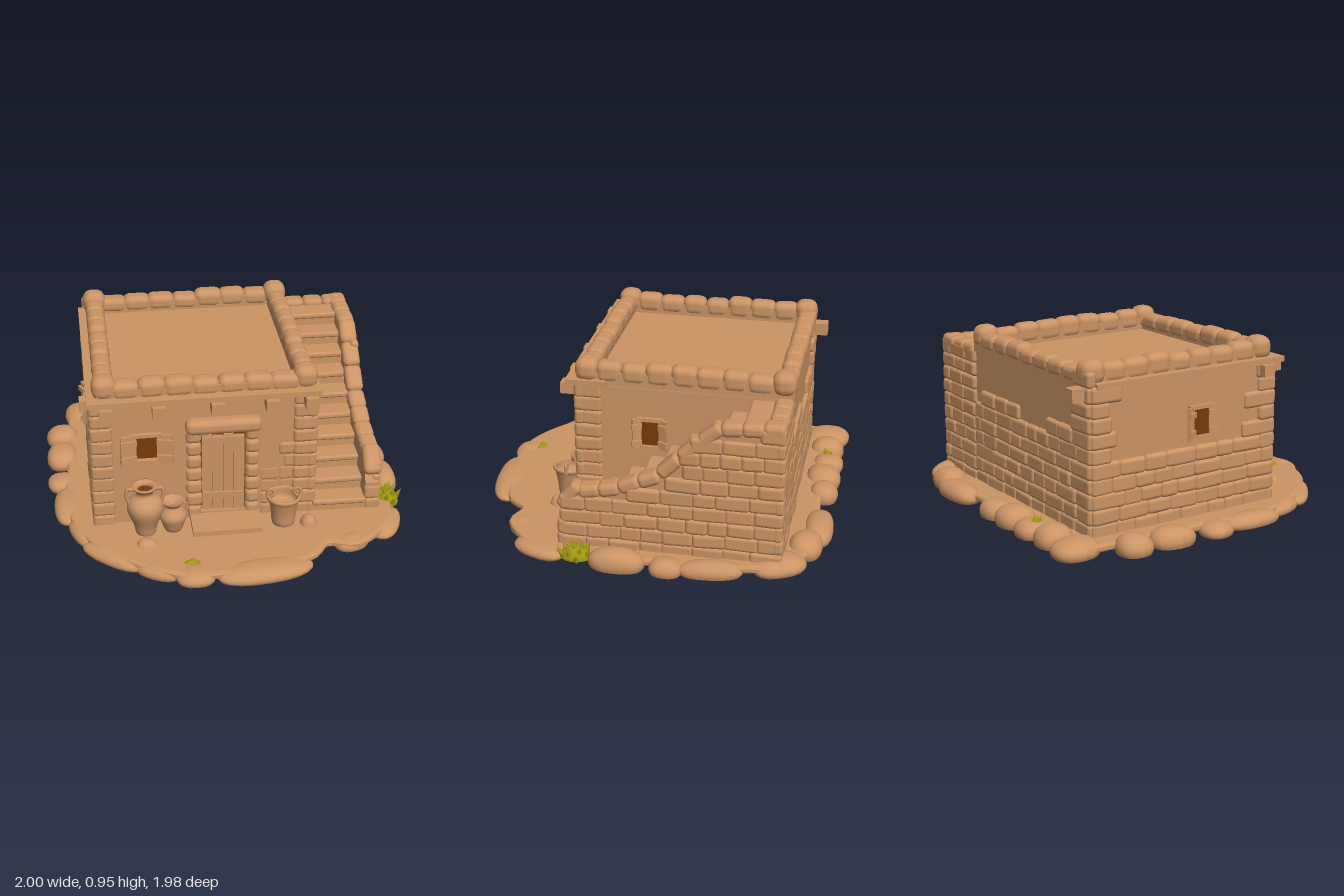
import * as THREE from 'three';
import { RoundedBoxGeometry } from 'three/addons/geometries/RoundedBoxGeometry.js';

const mat = (name, color) => {
  const m = new THREE.MeshStandardMaterial({ color, side: THREE.DoubleSide });
  m.name = name;
  return m;
};
const points = list => list.map(p => new THREE.Vector2(...p));

export function createModel() {
  const root = new THREE.Group();
  root.name = 'stoneHouse';
  const clay = mat('clay', 0xcb9465), dark = mat('darkInterior', 0x763a08), olive = mat('grass', 0xa09612);
  let seed = 7;
  const rnd = (a = 0, b = 1) => {
    seed = (seed * 16807) % 2147483647;
    return a + (b - a) * seed / 2147483647;
  };
  const add = (name, geo, m = clay, parent = root) => {
    const mesh = new THREE.Mesh(geo, m);
    mesh.name = name;
    parent.add(mesh);
    return mesh;
  };
  const group = (name, x = 0, y = 0, z = 0) => {
    const g = new THREE.Group();
    g.name = name;
    g.position.set(x, y, z);
    root.add(g);
    return g;
  };
  // Box given by its limits on each axis
  const box = (name, x0, x1, y0, y1, z0, z1, m = clay, parent = root) => {
    const b = add(name, new THREE.BoxGeometry(x1 - x0, y1 - y0, z1 - z0), m, parent);
    b.position.set((x0 + x1) / 2, (y0 + y1) / 2, (z0 + z1) / 2);
    return b;
  };
  const stone = (parent, w, h, d, x, y, z, tilt = 0.03) => {
    const s = add('stone', new RoundedBoxGeometry(w, h, d, 2, Math.min(w, h, d) * 0.4), clay, parent);
    s.position.set(x, y, z);
    s.rotation.set(rnd(-tilt, tilt), rnd(-tilt, tilt), rnd(-tilt, tilt));
    return s;
  };
  // Courses of stones on a wall plane at x = at or z = at
  const masonry = (name, axis, at, u0, u1, y0, top, wMin = 0.1, wMax = 0.19) => {
    const g = group(name), h = 0.078;
    for (let y = y0; y < 0.84; y += h) {
      let u = u0;
      while (u < u1 - 0.01) {
        let w = rnd(wMin, wMax);
        if (u1 - u - w < 0.06) w = u1 - u;
        const c = u + w / 2, hh = h + rnd(0.004, 0.014), t = rnd(0.045, 0.06);
        if (y + h < top(c) + 0.02) {
          if (axis === 'x') stone(g, t, hh, w + 0.008, at, y + h / 2, c);
          else stone(g, w + 0.008, hh, t, c, y + h / 2, at);
        }
        u += w;
      }
    }
  };

  // Ground slab with irregular outline, open below the stairs
  const outline = points([[-0.84, -0.84], [-0.7, -0.9], [0, -0.87], [0.5, -0.9], [0.75, -0.82], [0.87, -0.62], [0.9, 0],
    [0.88, 0.4], [0.82, 0.58], [0.64, 0.73], [0.48, 0.7], [0.36, 0.82], [0, 0.9], [-0.3, 0.9], [-0.56, 0.76],
    [-0.78, 0.52], [-0.88, 0.2], [-0.86, -0.3]]);
  const slab = new THREE.Shape(new THREE.SplineCurve([...outline, outline[0]]).getPoints(70));
  slab.holes.push(new THREE.Path(points([[0.44, -0.68], [0.44, 0.1], [0.77, 0.1], [0.77, -0.68]])));
  const ground = add('ground', new THREE.ExtrudeGeometry(slab,
    { depth: 0.018, bevelThickness: 0.012, bevelSize: 0.02, bevelSegments: 2 }).rotateX(Math.PI / 2));
  ground.position.y = 0.048;

  // Boulders round the edge: x, z, half width, half depth, height, turn
  const boulders = group('boulders');
  [[-0.905, -0.6, 0.095, 0.095, 0.1], [-0.91, -0.37, 0.09, 0.125, 0.1], [-0.92, -0.1, 0.08, 0.09, 0.07],
    [-0.89, 0.15, 0.08, 0.18, 0.07], [-0.77, -0.86, 0.11, 0.13, 0.09], [-0.58, -0.87, 0.1, 0.1, 0.11],
    [-0.4, -0.89, 0.1, 0.09, 0.09], [-0.21, -0.88, 0.11, 0.1, 0.11], [-0.03, -0.9, 0.09, 0.08, 0.1],
    [0.37, -0.91, 0.18, 0.08, 0.09], [0.58, -0.86, 0.11, 0.09, 0.11], [0.78, -0.74, 0.1, 0.15, 0.08, 0.5],
    [0.9, -0.4, 0.065, 0.17, 0.08, 0.1], [0.92, -0.17, 0.075, 0.09, 0.08], [0.92, 0.09, 0.075, 0.15, 0.11],
    [0.84, 0.52, 0.085, 0.155, 0.06, -0.35], [0.12, 0.885, 0.26, 0.095, 0.07, 0.14], [-0.25, 0.88, 0.11, 0.09, 0.065],
    [-0.66, 0.65, 0.2, 0.08, 0.06, -0.7], [-0.82, 0.42, 0.06, 0.13, 0.06, 0.35], [-0.44, 0.82, 0.12, 0.06, 0.06, -0.5],
    [0.62, 0.68, 0.1, 0.07, 0.065, 0.3], [-0.48, 0.62, 0.065, 0.05, 0.09],
    [0.41, 0.53, 0.05, 0.05, 0.11]].forEach(([x, z, a, b, h, turn = 0], k) => {
    const geo = new THREE.SphereGeometry(1, 20, 12, 0, Math.PI * 2, 0, 2.01), p = geo.attributes.position;
    const blocky = v => Math.sign(v) * Math.abs(v) ** 0.85;
    for (let i = 0; i < p.count; i++) {
      const X = p.getX(i), Y = p.getY(i), Z = p.getZ(i);
      const f = 1 + 0.03 * Math.sin(3 * X + k) * Math.cos(2 * Z + 2 * k);
      p.setXYZ(i, blocky(X) * f * a, Math.max(0, (Y * 0.7 + 0.3) * f * h), blocky(Z) * f * b);
    }
    geo.computeVertexNormals();
    const m = add('boulder', geo, clay, boulders);
    m.position.set(x, 0, z);
    m.rotation.y = turn;
  });

  // House body and front wall with window and door openings
  box('houseBody', -0.74, 0.45, 0, 0.81, -0.74, 0.34);
  const wall = new THREE.Shape(points([[-0.74, 0], [0.45, 0], [0.45, 0.84], [-0.74, 0.84]]));
  const hole = (x0, x1, y0, y1) => wall.holes.push(new THREE.Path(points([[x0, y0], [x0, y1], [x1, y1], [x1, y0]])));
  hole(-0.515, -0.4, 0.46, 0.605);
  hole(-0.17, 0.08, 0.06, 0.61);
  add('frontWall', new THREE.ExtrudeGeometry(wall, { depth: 0.06, bevelEnabled: false })).position.z = 0.34;
  box('windowDark', -0.515, -0.4, 0.46, 0.605, 0.388, 0.396, dark);
  box('doorDark', -0.18, 0.09, 0.05, 0.62, 0.338, 0.345, dark);

  // Door of planks, lintel, jambs and doorstep
  const door = group('door', -0.158, 0, 0.375);
  for (let i = 0; i < 4; i++) {
    box('plank', i * 0.058, i * 0.058 + 0.056, 0.1, 0.575 - 0.012 * (i % 2), -0.01, 0.012, clay, door);
  }
  [0.18, 0.53].forEach(y => box('doorBrace', 0, 0.225, y, y + 0.035, 0.01, 0.024, clay, door));
  door.rotation.y = -0.05;
  const doorway = group('doorway');
  stone(doorway, 0.41, 0.085, 0.1, -0.045, 0.65, 0.41, 0.01);
  box('doorstep', -0.23, 0.15, 0.03, 0.09, 0.4, 0.59);
  box('threshold', -0.17, 0.08, 0.05, 0.1, 0.34, 0.41);
  [-0.205, 0.115].forEach(x => {
    for (let i = 0; i < 7; i++) stone(doorway, rnd(0.07, 0.1), 0.086, 0.07, x, 0.1 + i * 0.08, 0.385);
  });

  // Shuttered windows, built facing +z and turned to each wall
  const windowSet = (name, x, y, z, turn, half, open, wide) => {
    const g = group(name, x, y, z);
    g.rotation.y = turn;
    [-0.08, 0.08].forEach(v => box('windowBar', -half - 0.02, half + 0.02, v - 0.01, v + 0.01, 0, 0.022, clay, g));
    [-1, 1].forEach(s => {
      const sh = new THREE.Group();
      sh.name = 'shutter';
      sh.position.x = s * half;
      sh.rotation.y = -s * open;
      g.add(sh);
      const xs = (a, b) => s > 0 ? [a, b] : [-b, -a];
      box('shutterPanel', ...xs(0, wide), -0.088, 0.085, 0.005, 0.02, clay, sh);
      [-0.05, 0.045].forEach(v => box('shutterBrace', ...xs(0, wide + 0.005), v - 0.015, v + 0.015, 0.02, 0.032, clay, sh));
    });
    return g;
  };
  windowSet('frontWindow', -0.457, 0.53, 0.4, 0, 0.06, 0.25, 0.085);
  [['rightWindow', 0.451, 0, Math.PI / 2], ['leftWindow', -0.742, -0.08, -Math.PI / 2]].forEach(([n, x, z, turn]) => {
    const g = windowSet(n, x, 0.56, z, turn, 0.055, 0.45, 0.05);
    box('windowDark', -0.055, 0.055, -0.07, 0.07, 0, 0.008, dark, g);
  });

  // Stone courses: back, left side, corners and bare patch in the plaster
  masonry('backStones', 'z', -0.735, -0.74, 0.45, 0.04, u => u < -0.6 ? 0.9 : 0.58 + 0.03 * Math.sin(u * 9));
  masonry('leftStones', 'x', -0.735, -0.74, 0.4, 0.04, u => u < -0.6 || u > 0.29 ? 0.82 : 0.42);
  masonry('frontLeftCorner', 'z', 0.39, -0.755, -0.64, 0.04, () => 0.8, 0.08, 0.13);
  masonry('frontRightCorner', 'z', 0.39, 0.34, 0.465, 0.04, () => 0.8, 0.08, 0.13);
  masonry('rightCorner', 'x', 0.44, 0.27, 0.415, 0.04, () => 0.8, 0.1, 0.15);
  masonry('barePatch', 'z', 0.38, 0.16, 0.35, 0.04, u => 0.36 + (u - 0.18) * 1.1, 0.08, 0.13);

  // Roof, eaves and projecting beam ends
  box('roof', -0.73, 0.44, 0.79, 0.82, -0.73, 0.39);
  box('frontEave', -0.765, 0.475, 0.812, 0.842, 0.32, 0.46);
  box('rightEave', 0.36, 0.475, 0.812, 0.842, 0.24, 0.33);
  box('leftEave', -0.765, -0.67, 0.812, 0.842, -0.72, 0.4);
  [-0.67, -0.39, -0.08, 0.21, 0.42].forEach(x => box('beamEnd', x - 0.035, x + 0.035, 0.75, 0.812, 0.35, 0.49));
  box('backBeamEnd', -0.71, -0.64, 0.75, 0.82, -0.83, -0.7);
  box('leftBeamEnd', -0.8, -0.7, 0.75, 0.812, 0.3, 0.37);

  // Parapet stones on all four sides, on a low kerb
  const parapet = group('parapet');
  [-0.71, 0.36].forEach(z => box('kerb', -0.71, 0.44, 0.8, 0.885, z - 0.045, z + 0.045, clay, parapet));
  [-0.67, 0.4].forEach(x => box('kerb', x - 0.045, x + 0.045, 0.8, 0.885, -0.71, 0.36, clay, parapet));
  for (let i = 0; i < 7; i++) {
    const c = -0.56 + i * 0.141;
    [-0.71, 0.36].forEach(z => {
      const top = rnd(0.905, 0.935);
      stone(parapet, rnd(0.145, 0.165), top - 0.82, 0.105, c, (top + 0.82) / 2, z);
    });
    const d = -0.58 + i * 0.135;
    [-0.67, 0.4].forEach(x => {
      const top = rnd(0.92, 0.945);
      stone(parapet, 0.105, top - 0.82, rnd(0.14, 0.16), x, (top + 0.82) / 2, d);
    });
  }
  [-0.67, 0.4].forEach(x => [-0.7, 0.35].forEach(z => stone(parapet, 0.13, 0.13, 0.13, x, 0.887, z)));

  // Stairs climbing to the back, hollow underneath
  const stairs = group('stairs');
  for (let i = 0; i < 10; i++) {
    const z = 0.42 - i * 0.108, y = 0.125 + i * 0.075;
    box('riser', 0.44, 0.76, y - 0.11, y - 0.015, z - 0.12, z, clay, stairs);
    stone(stairs, 0.3, 0.035, 0.13, 0.6, y - 0.012, z - 0.05, 0.012);
  }
  const hollow = group('stairHollow', 0.6, 0, -0.46);
  add('hollowSides', new THREE.CylinderGeometry(Math.SQRT1_2, Math.SQRT1_2, 1, 4, 1, true)
    .rotateY(Math.PI / 4).scale(0.27, 0.3, 0.38).translate(0, 0.16, 0), dark, hollow);
  box('hollowTop', -0.135, 0.135, 0.305, 0.31, -0.19, 0.19, dark, hollow);

  // Stepped outer stair wall with coping stones
  const path = [[0.42, 0.22], [0.35, 0.35], [0.12, 0.39], [-0.1, 0.48], [-0.25, 0.63], [-0.42, 0.78], [-0.76, 0.8]];
  const topAt = z => {
    const i = Math.max(1, path.findIndex(p => p[0] <= z));
    const [a, b] = [path[i - 1], path[i]];
    return a[1] + (b[1] - a[1]) * (z - a[0]) / (b[0] - a[0]);
  };
  const side = new THREE.Shape(points([[-0.74, 0], [0.42, 0], ...path.slice(0, -1), [-0.74, 0.8]]));
  add('stairWall', new THREE.ExtrudeGeometry(side, { depth: 0.075, bevelEnabled: false }).rotateY(-Math.PI / 2)).position.x = 0.82;
  box('stairBackWall', 0.44, 0.82, 0, 0.8, -0.74, -0.66);
  masonry('stairWallStones', 'x', 0.808, -0.755, 0.41, 0.03, topAt);
  masonry('stairBackStones', 'z', -0.735, 0.45, 0.83, 0.03, () => 0.85);
  masonry('stairWallEnd', 'z', 0.4, 0.745, 0.83, 0.04, () => 0.24, 0.09, 0.1);
  const coping = group('coping');
  for (let i = 0; i < 11; i++) {
    const z = 0.36 - i * 0.106, slope = (topAt(z - 0.035) - topAt(z + 0.035)) / 0.07;
    const s = stone(coping, 0.1, 0.075, 0.12 * Math.hypot(1, slope * 0.8), 0.785, topAt(z) + 0.005, z);
    s.rotation.x = Math.atan(slope);
  }
  for (let i = 0; i < 3; i++) stone(coping, 0.12, 0.07, 0.1, 0.52 + i * 0.115, 0.8, -0.71);

  // Clay vessels
  const vessel = (name, x, z, profile) => {
    const g = group(name, x, 0.055, z);
    add('vesselBody', new THREE.LatheGeometry(new THREE.SplineCurve(points(profile)).getPoints(28), 22), clay, g);
    return g;
  };
  const handles = (g, pts, r) => [-1, 1].forEach(s => add('handle', new THREE.TubeGeometry(
    new THREE.CatmullRomCurve3(pts.map(([px, py]) => new THREE.Vector3(s * px, py, 0))), 14, r, 7), clay, g));
  const jar = vessel('tallJar', -0.48, 0.5, [[0.001, 0], [0.05, 0], [0.065, 0.06], [0.098, 0.15], [0.09, 0.205],
    [0.05, 0.24], [0.047, 0.265], [0.07, 0.298], [0.042, 0.29], [0.038, 0.25]]);
  handles(jar, [[0.05, 0.275], [0.09, 0.28], [0.1, 0.24], [0.085, 0.19]], 0.011);
  add('jarInside', new THREE.CircleGeometry(0.044, 18).rotateX(-Math.PI / 2), dark, jar).position.y = 0.275;
  const pot = vessel('smallJar', -0.33, 0.49, [[0.001, 0], [0.04, 0], [0.062, 0.05], [0.074, 0.1], [0.047, 0.145],
    [0.044, 0.16], [0.062, 0.185], [0.045, 0.178], [0.001, 0.16]]);
  handles(pot, [[0.045, 0.165], [0.07, 0.165], [0.076, 0.14], [0.065, 0.11]], 0.007);
  const basket = vessel('basket', 0.275, 0.5, [[0.001, 0], [0.058, 0], [0.07, 0.08], [0.084, 0.15], [0.094, 0.165],
    [0.092, 0.18], [0.078, 0.175], [0.07, 0.12], [0.001, 0.11]]);
  handles(basket, [[0.09, 0.16], [0.088, 0.21], [0.07, 0.22], [0.055, 0.2], [0.075, 0.165]], 0.009);

  // Grass tufts: x, y, z, half width, half depth, height, blade count
  [[0.9, 0.03, 0.31, 0.065, 0.085, 0.075, 14], [-0.26, 0.055, 0.815, 0.05, 0.02, 0.02, 4],
    [-0.43, 0.07, -0.88, 0.02, 0.018, 0.04, 3]].forEach(([x, y, z, a, b, h, n]) => {
    const g = group('grassTuft', x, y, z);
    add('grassClump', new THREE.SphereGeometry(1, 14, 8, 0, Math.PI * 2, 0, Math.PI / 2).scale(a, h * 0.8, b), olive, g);
    for (let i = 0; i < n; i++) {
      const t = i * 2.4, q = Math.sqrt((i + 0.5) / n), len = h * rnd(0.5, 0.7);
      const blade = add('blade', new THREE.ConeGeometry(0.016, len, 6).translate(0, len * 0.4, 0), olive, g);
      blade.position.set(q * a * Math.cos(t), h * 0.75 * Math.sqrt(1 - q * q), q * b * Math.sin(t));
      blade.rotation.set(0.6 * q * Math.sin(t), 0, -0.6 * q * Math.cos(t));
    }
  });
  return root;
}
